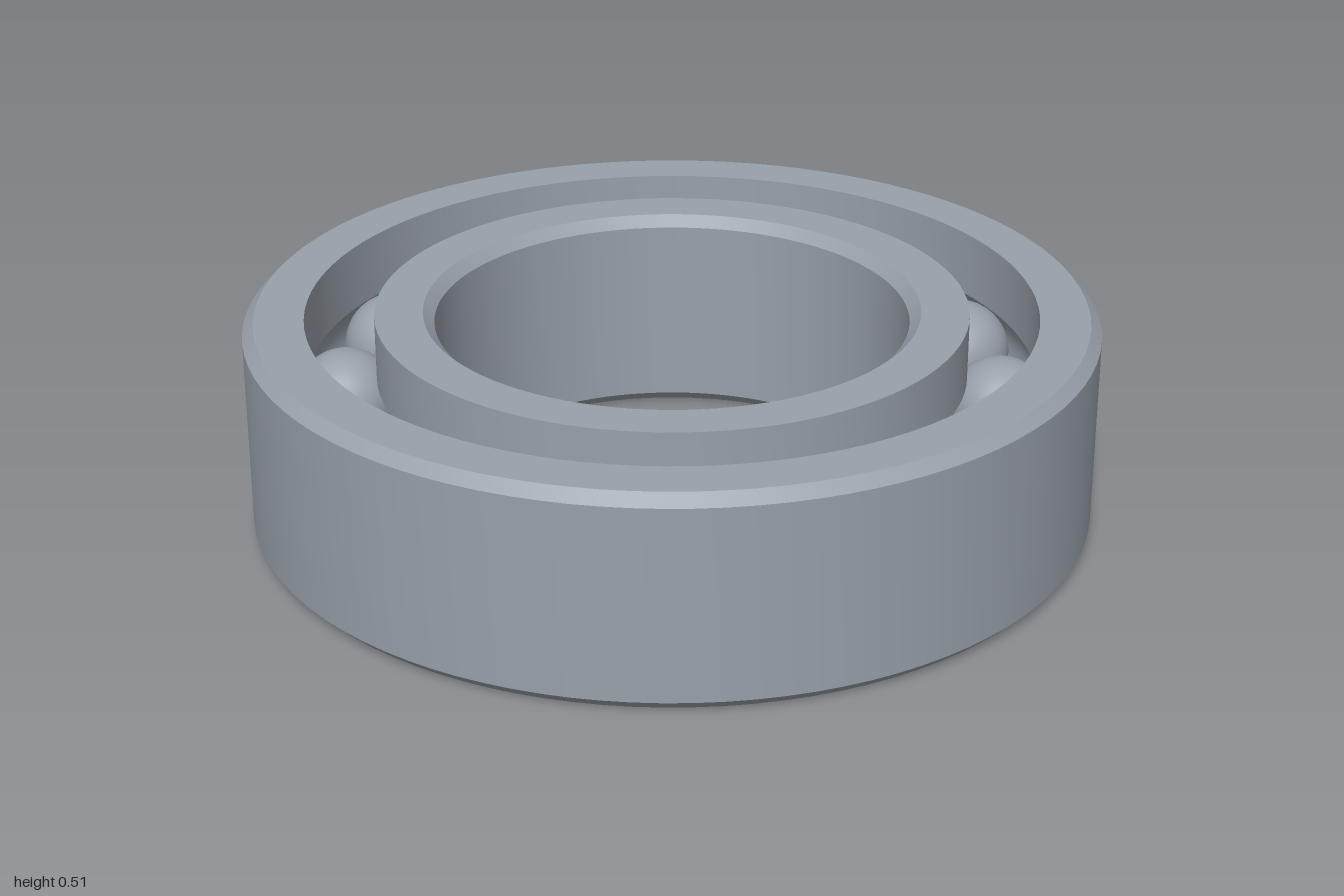
import * as THREE from 'three';
import { toCreasedNormals } from 'three/addons/utils/BufferGeometryUtils.js';

const HEIGHT = 0.51, MID = HEIGHT / 2, CHAMFER = 0.026;
const PITCH = 0.776;        // radius of the circle of ball centres
const BALL = 0.124, BALLS = 14;
const GROOVE = 0.126;       // raceway arc radius
const OUTER = 1, OUTER_LIP = 0.857, INNER_LIP = 0.695, BORE = 0.556;

// Raceway arc, from start to end angle about the ball centre, in (radius, y)
function raceway(from, to, steps = 12) {
  return Array.from({ length: steps + 1 }, (_, i) => {
    const a = from + (to - from) * i / steps;
    return [PITCH + GROOVE * Math.cos(a), MID + GROOVE * Math.sin(a)];
  });
}

// Closed ring turned from a counterclockwise profile
function turnedRing(name, profile, material) {
  const points = [...profile, profile[0]].map(([r, y]) => new THREE.Vector2(r, y));
  const geometry = toCreasedNormals(new THREE.LatheGeometry(points, 96), 0.5);
  const mesh = new THREE.Mesh(geometry, material);
  mesh.name = name;
  return mesh;
}

export function createModel() {
  const steel = new THREE.MeshStandardMaterial({ color: 0x98a0aa });
  steel.name = 'steel';
  const group = new THREE.Group();
  group.name = 'ballBearing';

  // Outer ring: chamfered outside, grooved inside
  const outerArc = Math.acos((OUTER_LIP - PITCH) / GROOVE);
  group.add(turnedRing('outerRing', [
    [OUTER_LIP, 0], [OUTER - CHAMFER, 0], [OUTER, CHAMFER],
    [OUTER, HEIGHT - CHAMFER], [OUTER - CHAMFER, HEIGHT], [OUTER_LIP, HEIGHT],
    ...raceway(outerArc, -outerArc),
  ], steel));

  // Inner ring: grooved outside, chamfered bore
  const innerArc = Math.acos((INNER_LIP - PITCH) / GROOVE);
  group.add(turnedRing('innerRing', [
    [BORE + CHAMFER, 0], [INNER_LIP, 0],
    ...raceway(2 * Math.PI - innerArc, innerArc),
    [INNER_LIP, HEIGHT], [BORE + CHAMFER, HEIGHT],
    [BORE, HEIGHT - CHAMFER], [BORE, CHAMFER],
  ], steel));

  // Balls, evenly spaced between the rings
  const balls = new THREE.Group();
  balls.name = 'balls';
  const ballGeometry = new THREE.SphereGeometry(BALL, 40, 24);
  for (let i = 0; i < BALLS; i++) {
    const a = i * 2 * Math.PI / BALLS - THREE.MathUtils.degToRad(1);
    const ball = new THREE.Mesh(ballGeometry, steel);
    ball.name = 'ball';
    ball.position.set(PITCH * Math.sin(a), MID, -PITCH * Math.cos(a));
    balls.add(ball);
  }
  group.add(balls);
  return group;
}
